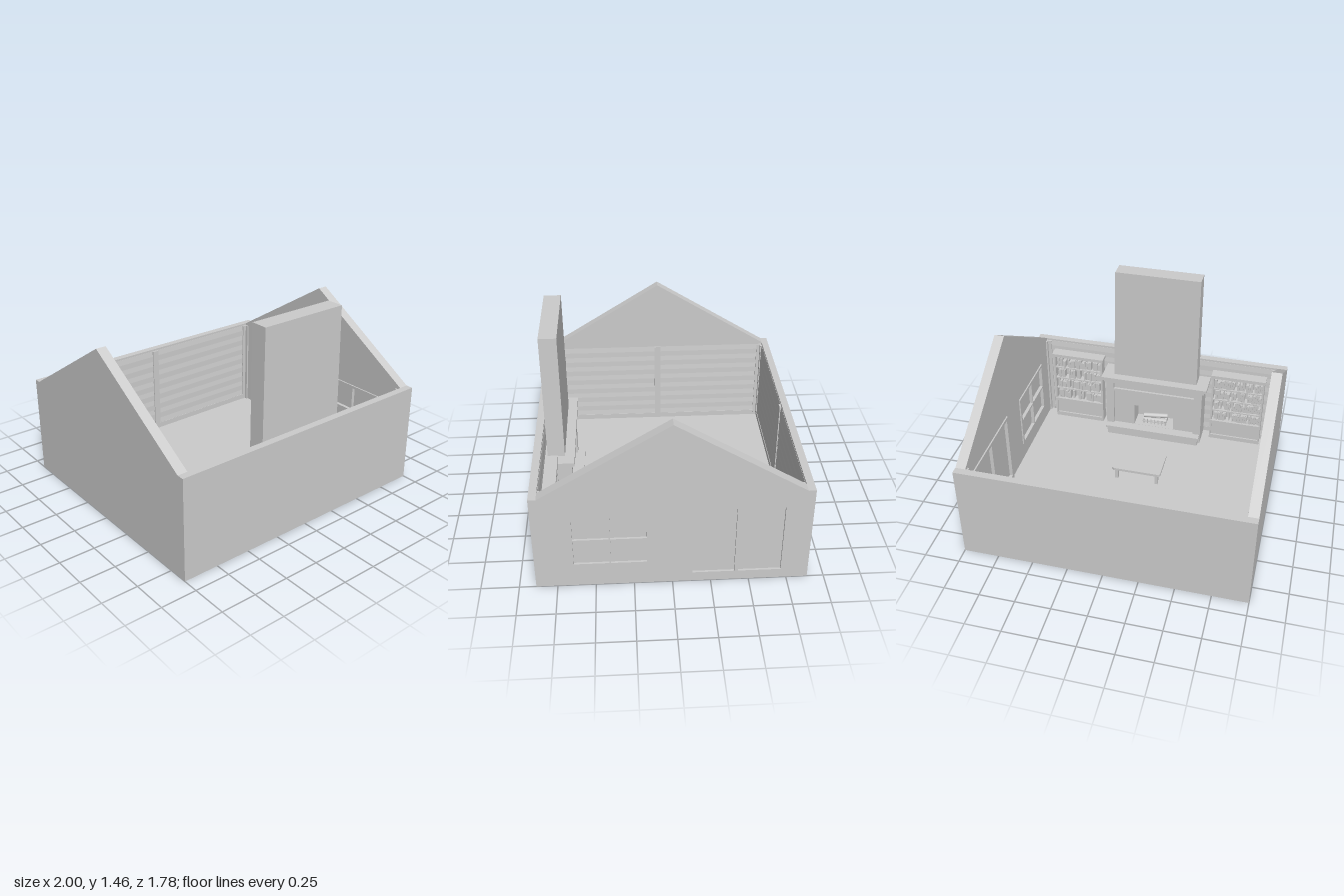
import * as THREE from 'three';

const material = new THREE.MeshStandardMaterial({ color: 0xcccccc });
const FLOOR = 0.03;

function add(parent, name, geometry) {
  const mesh = new THREE.Mesh(geometry, material);
  mesh.name = name;
  parent.add(mesh);
  return mesh;
}

// Box given by its min and max along each axis
function box(parent, name, x0, x1, y0, y1, z0, z1) {
  const g = new THREE.BoxGeometry(x1 - x0, y1 - y0, z1 - z0);
  g.translate((x0 + x1) / 2, (y0 + y1) / 2, (z0 + z1) / 2);
  return add(parent, name, g);
}

function rect(Type, a0, a1, b0, b1) {
  const p = [[a0, b0], [a1, b0], [a1, b1], [a0, b1]];
  return new Type(p.map(([a, b]) => new THREE.Vector2(a, b)));
}

// Extrude a (z, y) outline along x, from x0 to x1
function extrudeX(shape, x0, x1) {
  const g = new THREE.ExtrudeGeometry(shape, { depth: x1 - x0, bevelEnabled: false });
  g.rotateY(-Math.PI / 2);
  return g.translate(x1, 0, 0);
}

function group(parent, name) {
  const g = new THREE.Group();
  g.name = name;
  parent.add(g);
  return g;
}

// Panes as [z0, z1, y0, y1]
const windowPanes = [];
for (const [z0, z1] of [[0.165, 0.397], [0.407, 0.637]])
  for (const [y0, y1] of [[0.18, 0.365], [0.38, 0.56]]) windowPanes.push([z0, z1, y0, y1]);
const doorPanes = [[-0.71, -0.43, 0.07, 0.59], [-0.405, -0.13, 0.07, 0.59]];

function gable(parent, name, x0, x1, panes) {
  const s = new THREE.Shape([[-0.89, 0], [0.89, 0], [0.89, 0.715], [0.84, 0.715], [0, 1.235],
    [-0.84, 0.715], [-0.89, 0.715]].map(([z, y]) => new THREE.Vector2(z, y)));
  for (const p of panes) s.holes.push(rect(THREE.Path, ...p));
  add(parent, name, extrudeX(s, x0, x1));
}

// Raised trim on the inside of the right wall, around an opening
function casing(parent, name, z0, z1, y0, y1, panes) {
  const s = rect(THREE.Shape, z0, z1, y0, y1);
  for (const p of panes) s.holes.push(rect(THREE.Path, ...p));
  add(parent, name, extrudeX(s, 0.92, 0.932));
}

// Lapped boards with upright battens; local +z points into the room
function siding(parent, name, length) {
  const g = group(parent, name);
  const n = 8, h = (0.7 - FLOOR) / n, half = length / 2;
  const pts = [new THREE.Vector2(-0.005, FLOOR)];
  for (let i = 0; i < n; i++) {
    const y = FLOOR + i * h;
    pts.push(new THREE.Vector2(0.008, y), new THREE.Vector2(0.007, y + h * 0.5), new THREE.Vector2(0.002, y + h));
  }
  pts.push(new THREE.Vector2(-0.005, 0.7));
  add(g, 'boards', extrudeX(new THREE.Shape(pts), -half, half));
  for (const x of [-half + 0.015, 0, half - 0.015])
    box(g, 'batten', x - 0.024, x + 0.024, FLOOR, 0.7, 0, 0.014);
  box(g, 'baseboard', -half, half, FLOOR, 0.07, 0, 0.011);
  return g;
}

function makeRandom(seed) {
  return () => (seed = (seed * 16807) % 2147483647) / 2147483647;
}

function bookcase(parent, name, x0, x1, seed) {
  const g = group(parent, name), random = makeRandom(seed);
  const z0 = 0.745, z1 = 0.82, t = 0.014;
  box(g, 'backPanel', x0, x1, FLOOR, 0.62, z1 - 0.01, z1);
  box(g, 'leftSide', x1 - t, x1, FLOOR, 0.62, z0, z1);
  box(g, 'rightSide', x0, x0 + t, FLOOR, 0.62, z0, z1);
  box(g, 'cornice', x0 - 0.008, x1 + 0.008, 0.615, 0.64, z0 - 0.01, z1);
  // Cabinet with a framed front
  box(g, 'cabinet', x0 + t, x1 - t, FLOOR, 0.19, z0 + 0.012, z1);
  box(g, 'plinth', x0, x1, FLOOR, 0.065, z0, z1);
  box(g, 'cabinetTop', x0, x1, 0.185, 0.21, z0 - 0.006, z1);
  // Shelves filled with books
  const rows = 4, pitch = (0.615 - 0.21) / rows;
  for (let i = 0; i < rows; i++) {
    const y = 0.21 + i * pitch;
    if (i) box(g, 'shelf', x0 + t, x1 - t, y - 0.01, y, z0 + 0.004, z1);
    for (let x = x0 + t + 0.002; x < x1 - t - 0.022;) {
      const w = 0.008 + 0.012 * random(), h = pitch * (0.5 + 0.32 * random());
      if (random() < 0.87) box(g, 'book', x, x + w, y, y + h, z0 + 0.008 + 0.015 * random(), z1 - 0.01);
      x += w + 0.001;
    }
  }
}

export function createModel() {
  const model = new THREE.Group();
  model.name = 'openRoofRoom';

  // Shell
  const shell = group(model, 'shell');
  box(shell, 'floor', -0.95, 0.95, 0, FLOOR, -0.86, 0.86);
  box(shell, 'frontWall', -0.93, 0.93, 0, 0.715, 0.84, 0.89);
  box(shell, 'backWall', -0.93, 0.93, 0, 0.715, -0.89, -0.84);
  gable(shell, 'plainGable', -1, -0.93, []);
  gable(shell, 'windowGable', 0.93, 1, [...windowPanes, ...doorPanes]);

  // Wall boards on three sides
  siding(model, 'backSiding', 1.86).position.z = -0.84;
  const front = siding(model, 'frontSiding', 1.86);
  front.position.z = 0.84;
  front.rotation.y = Math.PI;
  const side = siding(model, 'sideSiding', 1.68);
  side.position.x = -0.932;
  side.rotation.y = Math.PI / 2;
  for (const s of [-1, 1])
    box(model, 'cornerTrim', 0.918, 0.935, FLOOR, 0.7, s * 0.822 - 0.018, s * 0.822 + 0.018);

  // Window and doors
  const openings = group(model, 'openings');
  for (const [z0, z1, y0, y1] of windowPanes) box(openings, 'windowGlass', 0.945, 0.985, y0, y1, z0, z1);
  for (const [z0, z1, y0, y1] of doorPanes) box(openings, 'doorGlass', 0.945, 0.985, y0, y1, z0, z1);
  casing(openings, 'windowCasing', 0.145, 0.657, 0.16, 0.58, windowPanes);
  casing(openings, 'doorCasing', -0.735, -0.105, FLOOR, 0.615, doorPanes);

  // Fireplace
  const fireplace = group(model, 'fireplace');
  box(fireplace, 'hearth', -0.37, 0.37, FLOOR, 0.095, 0.61, 0.84);
  box(fireplace, 'hearthTop', -0.38, 0.38, 0.095, 0.112, 0.595, 0.84);
  const face = rect(THREE.Shape, -0.37, 0.37, 0.11, 0.53);
  face.holes.push(rect(THREE.Path, -0.16, 0.16, 0.113, 0.3));
  const surround = new THREE.ExtrudeGeometry(face, { depth: 0.15, bevelEnabled: false });
  add(fireplace, 'surround', surround.translate(0, 0, 0.67));
  box(fireplace, 'fireback', -0.2, 0.2, 0.1, 0.32, 0.81, 0.835);
  for (const s of [-1, 1]) {
    const x = s * 0.355;
    box(fireplace, 'pilaster', x - 0.03, x + 0.03, FLOOR, 0.53, 0.65, 0.835);
  }
  box(fireplace, 'frieze', -0.385, 0.385, 0.43, 0.45, 0.652, 0.7);
  box(fireplace, 'mantelMoulding', -0.4, 0.4, 0.51, 0.535, 0.642, 0.836);
  box(fireplace, 'mantel', -0.42, 0.42, 0.532, 0.558, 0.63, 0.836);

  // Grate and logs
  for (let i = 0; i < 7; i++) {
    const x = -0.09 + i * 0.03;
    box(fireplace, 'grateBar', x - 0.004, x + 0.004, 0.112, 0.155, 0.7, 0.706);
  }
  box(fireplace, 'grateRail', -0.1, 0.1, 0.13, 0.137, 0.699, 0.707);
  for (const [y, z, tilt] of [[0.135, 0.73, 0.06], [0.135, 0.77, -0.08], [0.168, 0.75, 0.15]]) {
    const log = add(fireplace, 'log', new THREE.CylinderGeometry(0.019, 0.019, 0.19, 10));
    log.position.set(0, y, z);
    log.rotation.set(0, tilt, Math.PI / 2);
  }

  // Chimney breast, leaning in slightly on one side
  const breast = box(fireplace, 'chimney', -0.33, 0.33, 0.55, 1.455, 0.697, 0.815);
  const p = breast.geometry.attributes.position;
  for (let i = 0; i < p.count; i++)
    if (p.getY(i) > 1) p.setX(i, p.getX(i) > 0 ? 0.312 : -0.326);
  breast.geometry.computeVertexNormals();

  // Bookcases either side of the fireplace
  bookcase(model, 'leftBookcase', 0.445, 0.85, 11);
  bookcase(model, 'rightBookcase', -0.85, -0.445, 97);

  // Low table with a rounded top
  const table = group(model, 'table');
  const top = new THREE.Shape();
  const w = 0.187, d = 0.128, r = 0.022;
  for (const [x, y, a] of [[w - r, d - r, 0], [r - w, d - r, 1], [r - w, r - d, 2], [w - r, r - d, 3]])
    top.absarc(x, y, r, a * Math.PI / 2, (a + 1) * Math.PI / 2, false);
  const topGeometry = new THREE.ExtrudeGeometry(top, { depth: 0.02, bevelEnabled: false, curveSegments: 6 });
  topGeometry.rotateX(-Math.PI / 2);
  add(table, 'tableTop', topGeometry).position.set(0, 0.12, 0.187);
  for (const x of [-0.155, 0.155])
    for (const z of [0.09, 0.284])
      box(table, 'tableLeg', x - 0.012, x + 0.012, FLOOR, 0.121, z - 0.012, z + 0.012);

  return model;
}
